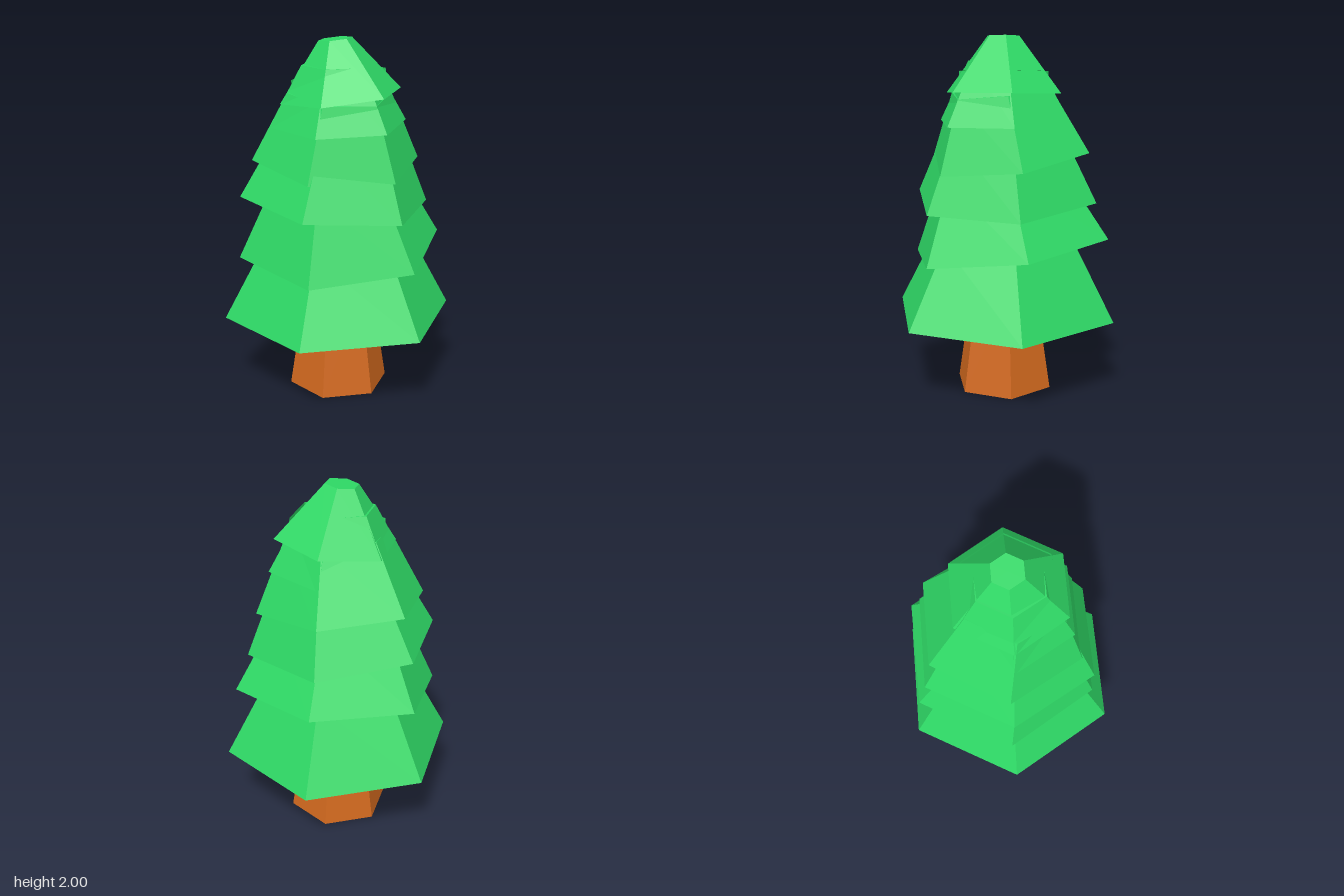
import * as THREE from 'three';

const leafMaterial = new THREE.MeshStandardMaterial({ color: 0x2ed865, flatShading: true });
const barkMaterial = new THREE.MeshStandardMaterial({ color: 0xd2691e, flatShading: true });

// Six-sided skirt of foliage: sloping outside, flat rim and a shallow recess underneath
function foliageTier({ bottom, top, height }) {
  const inner = bottom * 0.8;
  const recess = 0.12;
  const profile = [
    [0, recess], [inner * 0.97, recess], [inner, 0],
    [bottom, 0], [top, height], [0, height],
  ].map(([x, y]) => new THREE.Vector2(x, y));
  return new THREE.Mesh(new THREE.LatheGeometry(profile, 6), leafMaterial);
}

// Tiers from the ground up: rim centre, radii, height and tilt (x: back raised, z: left raised)
const tiers = [
  { at: [0, 0.435, 0], bottom: 0.653, top: 0.41, height: 0.45, tilt: [0, 0, 0] },
  { at: [0, 0.825, -0.035], bottom: 0.58, top: 0.36, height: 0.42, tilt: [0.139, 0.02, 0] },
  { at: [-0.02, 1.1, 0], bottom: 0.535, top: 0.34, height: 0.4, tilt: [0, 0, -0.086] },
  { at: [-0.02, 1.327, -0.02], bottom: 0.472, top: 0.29, height: 0.38, tilt: [0.1, 0, -0.09] },
  { at: [0, 1.53, 0], bottom: 0.383, top: 0.2, height: 0.33, tilt: [0.035, 0, 0] },
  { at: [0.015, 1.683, 0], bottom: 0.338, top: 0.093, height: 0.31, tilt: [0.03, 0, 0.1] },
];

export function createModel() {
  const tree = new THREE.Group();
  tree.name = 'tree';

  // Tapered six-sided trunk
  const trunk = new THREE.Mesh(new THREE.CylinderGeometry(0.195, 0.283, 0.57, 6), barkMaterial);
  trunk.name = 'trunk';
  trunk.position.y = 0.285;
  tree.add(trunk);

  // Stacked, slightly crooked foliage
  tiers.forEach((tier, i) => {
    const mesh = foliageTier(tier);
    mesh.name = `foliageTier${i + 1}`;
    mesh.position.set(...tier.at);
    mesh.rotation.set(...tier.tilt);
    tree.add(mesh);
  });

  return tree;
}
